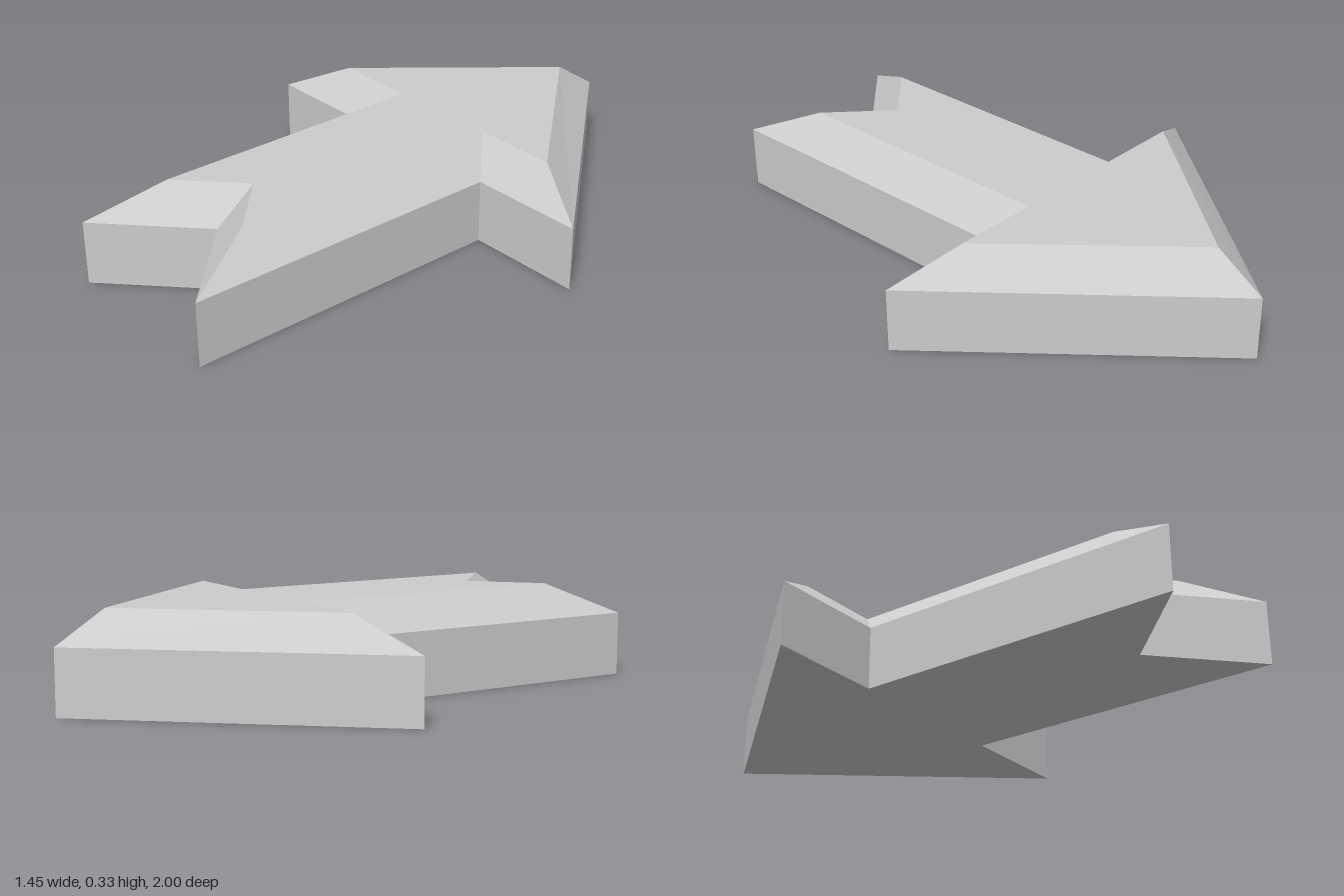
import * as THREE from 'three';

// Right half of an arrow outline: tip, wing, notch, tail corner, tail centre [x, z]
const OUTER = [[0, -1], [0.725, -0.13], [0.31, -0.13], [0.31, 1], [0, 0.705]];
const INNER = [[0, -0.83], [0.5, -0.24], [0.2, -0.24], [0.2, 0.75], [0, 0.56]];

// Full closed ring at height y, mirrored across x = 0
function ring(half, y) {
  const mirrored = half.slice(1, 4).reverse().map(([x, z]) => [-x, z]);
  return [...half, ...mirrored].map(([x, z]) => [x, y, z]);
}

// Each half is a fan from its notch; this order faces down
const CAP = [[2, 3, 4], [2, 4, 0], [2, 0, 1], [6, 7, 0], [6, 0, 4], [6, 4, 5]];

function arrowGeometry(rings) {
  const n = rings[0].length;
  const index = [];

  // Side walls and bevel between successive rings
  for (let r = 0; r < rings.length - 1; r++) {
    for (let i = 0; i < n; i++) {
      const a = r * n + i;
      const b = r * n + (i + 1) % n;
      index.push(a, a + n, b, b, a + n, b + n);
    }
  }

  // Underside and top face
  const top = (rings.length - 1) * n;
  for (const [a, b, c] of CAP) {
    index.push(a, b, c, top + a, top + c, top + b);
  }

  const indexed = new THREE.BufferGeometry();
  indexed.setAttribute('position', new THREE.Float32BufferAttribute(rings.flat(2), 3));
  indexed.setIndex(index);
  const geometry = indexed.toNonIndexed();
  geometry.computeVertexNormals();
  return geometry;
}

export function createModel() {
  const group = new THREE.Group();
  group.name = 'arrow';

  const grey = new THREE.MeshStandardMaterial({ color: 0xcccccc });
  grey.name = 'light grey';

  // Bevelled arrow slab, head towards -z and notched tail towards +z
  const body = new THREE.Mesh(
    arrowGeometry([ring(OUTER, 0), ring(OUTER, 0.22), ring(INNER, 0.33)]),
    grey
  );
  body.name = 'arrowBody';
  group.add(body);

  return group;
}
